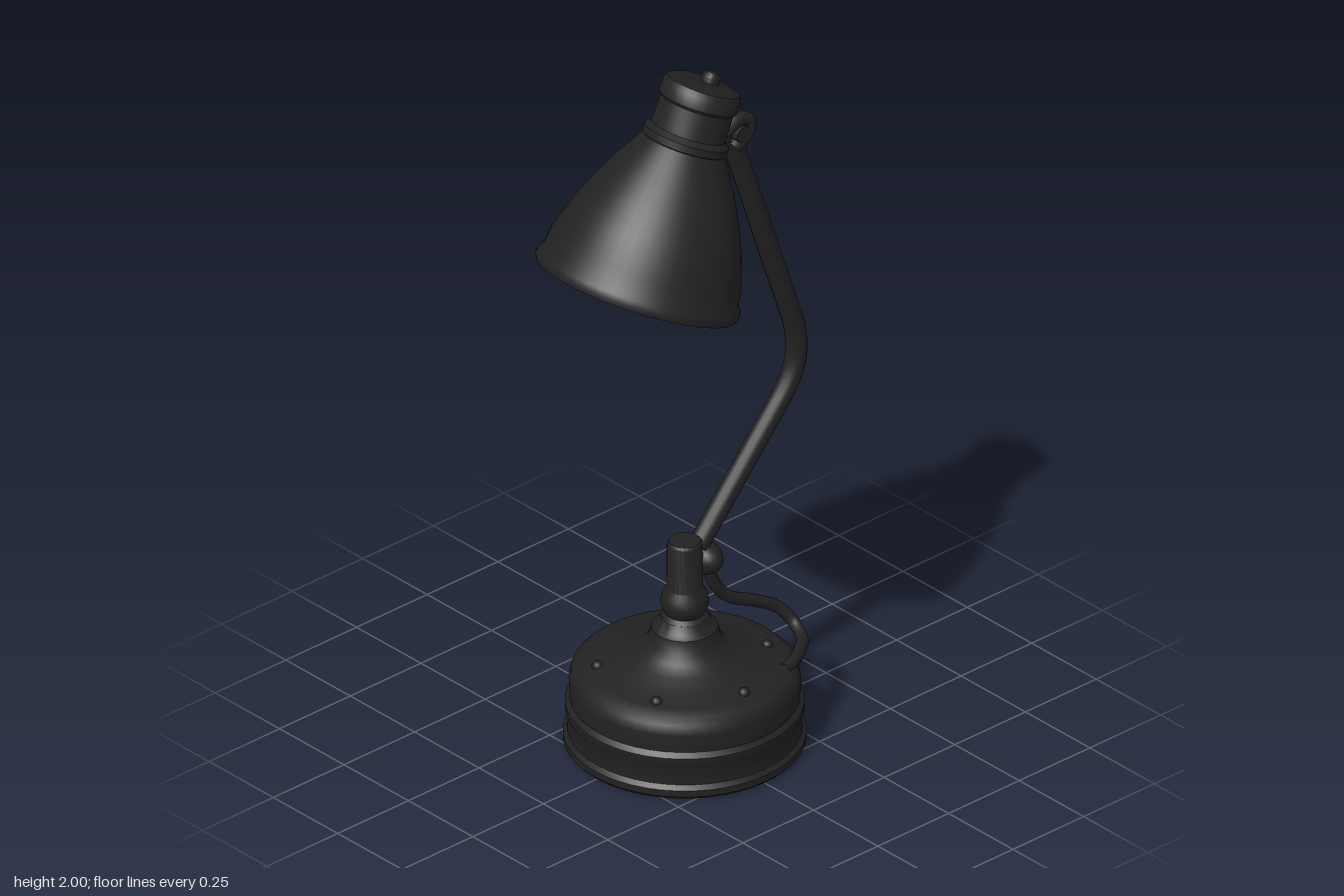
import * as THREE from 'three';
import { toCreasedNormals } from 'three/addons/utils/BufferGeometryUtils.js';

const black = new THREE.MeshStandardMaterial({ color: 0x222222 });
black.name = 'black enamel';
const cream = new THREE.MeshStandardMaterial({ color: 0xc2ad7c, side: THREE.DoubleSide });
cream.name = 'cream lining';

const V = (x, y, z = 0) => new THREE.Vector3(x, y, z);

function add(parent, name, geometry, material = black, position = [0, 0, 0]) {
  const mesh = new THREE.Mesh(geometry, material);
  mesh.name = name;
  mesh.position.set(...position);
  parent.add(mesh);
  return mesh;
}

// Turned part from [radius, height] pairs, bottom to top
function lathe(profile, segments = 40) {
  const points = profile.map(([r, y]) => new THREE.Vector2(r, y));
  return toCreasedNormals(new THREE.LatheGeometry(points, segments), 0.65);
}

function tube(points, radius, segments = 40, sides = 12) {
  const curve = new THREE.CatmullRomCurve3(points, false, 'centripetal');
  return new THREE.TubeGeometry(curve, segments, radius, sides);
}

export function createModel() {
  const lamp = new THREE.Group();
  lamp.name = 'deskLamp';

  // Weighted base: two bands, beads, and a flared top
  add(lamp, 'base', lathe([
    [0, 0], [0.31, 0], [0.319, 0.01], [0.319, 0.028], [0.308, 0.04], [0.306, 0.09],
    [0.314, 0.102], [0.314, 0.122], [0.302, 0.135], [0.304, 0.185], [0.298, 0.212],
    [0.282, 0.228], [0.25, 0.235], [0.2, 0.25], [0.15, 0.268], [0.115, 0.288],
    [0.095, 0.312], [0.088, 0.345], [0.074, 0.355], [0.062, 0.375],
  ], 48));

  // Stem with a round collar and a plain post
  add(lamp, 'stem', lathe([
    [0.062, 0.375], [0.05, 0.385], [0.06, 0.4], [0.064, 0.42], [0.06, 0.445],
    [0.048, 0.462], [0.047, 0.595], [0.042, 0.602], [0, 0.602],
  ], 24));

  // Small domed screws on the base
  for (const [x, z] of [[0.19, -0.13], [0.21, 0.09], [0, 0.23], [-0.2, 0.11], [-0.19, -0.13]]) {
    add(lamp, 'baseScrew', new THREE.SphereGeometry(0.016, 12, 8), black, [x, 0.238, z]);
  }

  // Pivot at the foot of the arm
  add(lamp, 'lowerPivot', new THREE.SphereGeometry(1, 20, 14), black, [0.065, 0.527, 0])
    .scale.set(0.046, 0.046, 0.062);

  // Bent arm: straight runs joined by a rounded elbow
  const arm = new THREE.CurvePath();
  arm.add(new THREE.LineCurve3(V(0.045, 0.565), V(0.33, 0.89)));
  arm.add(new THREE.CubicBezierCurve3(V(0.33, 0.89), V(0.39, 0.958), V(0.417, 1.023), V(0.376, 1.142)));
  arm.add(new THREE.LineCurve3(V(0.376, 1.142), V(0.16, 1.77)));
  add(lamp, 'arm', new THREE.TubeGeometry(arm, 70, 0.029, 14));

  // Forked bracket and pin at the top of the arm
  for (const side of [-1, 1]) {
    const z = side * 0.024;
    add(lamp, 'bracketCheek', tube(
      [V(0.11, 1.80, z), V(0.165, 1.825, z), V(0.203, 1.81, z), V(0.198, 1.775, z), V(0.15, 1.745, z)],
      0.02, 24, 10));
  }
  const pin = add(lamp, 'bracketPin', new THREE.CylinderGeometry(0.024, 0.024, 0.09, 14), black, [0.17, 1.785, 0]);
  pin.rotation.x = Math.PI / 2;

  // Cord looping from the pivot down onto the base
  add(lamp, 'cord', tube([
    V(0.075, 0.51), V(0.105, 0.43), V(0.15, 0.375, 0.005), V(0.23, 0.335, 0.015),
    V(0.305, 0.29, 0.03), V(0.333, 0.245, 0.06), V(0.315, 0.225, 0.11),
    V(0.27, 0.228, 0.15), V(0.22, 0.232, 0.185), V(0.17, 0.228, 0.2),
  ], 0.017, 60, 10));

  // Tilted head
  const head = new THREE.Group();
  head.name = 'head';
  head.position.set(-0.172, 1.435, 0);
  head.rotation.z = -THREE.MathUtils.degToRad(24.5);
  lamp.add(head);

  const wall = [[0.268, 0.04], [0.262, 0.09], [0.233, 0.178], [0.205, 0.243], [0.166, 0.322], [0.112, 0.41]];
  add(head, 'shade', lathe([[0.262, 0], [0.276, 0], [0.281, 0.012], [0.278, 0.028], ...wall], 48));

  // Lining sits just inside the shade, facing inward
  const lining = [[0.262, 0], ...wall.map(([r, y]) => [r - 0.01, y - 0.004]), [0, 0.406]];
  add(head, 'shadeLining', lathe(lining.reverse(), 48), cream);

  // Socket housing with flange, neck and cap
  add(head, 'socket', lathe([
    [0.108, 0.405], [0.116, 0.412], [0.117, 0.432], [0.102, 0.446], [0.1, 0.52],
    [0.107, 0.528], [0.108, 0.562], [0.1, 0.576], [0.085, 0.582], [0, 0.585],
  ], 32));
  add(head, 'capKnob', lathe([[0.024, 0.575], [0.025, 0.6], [0.017, 0.613], [0, 0.617]], 16), black, [0.02, 0, 0]);

  return lamp;
}
